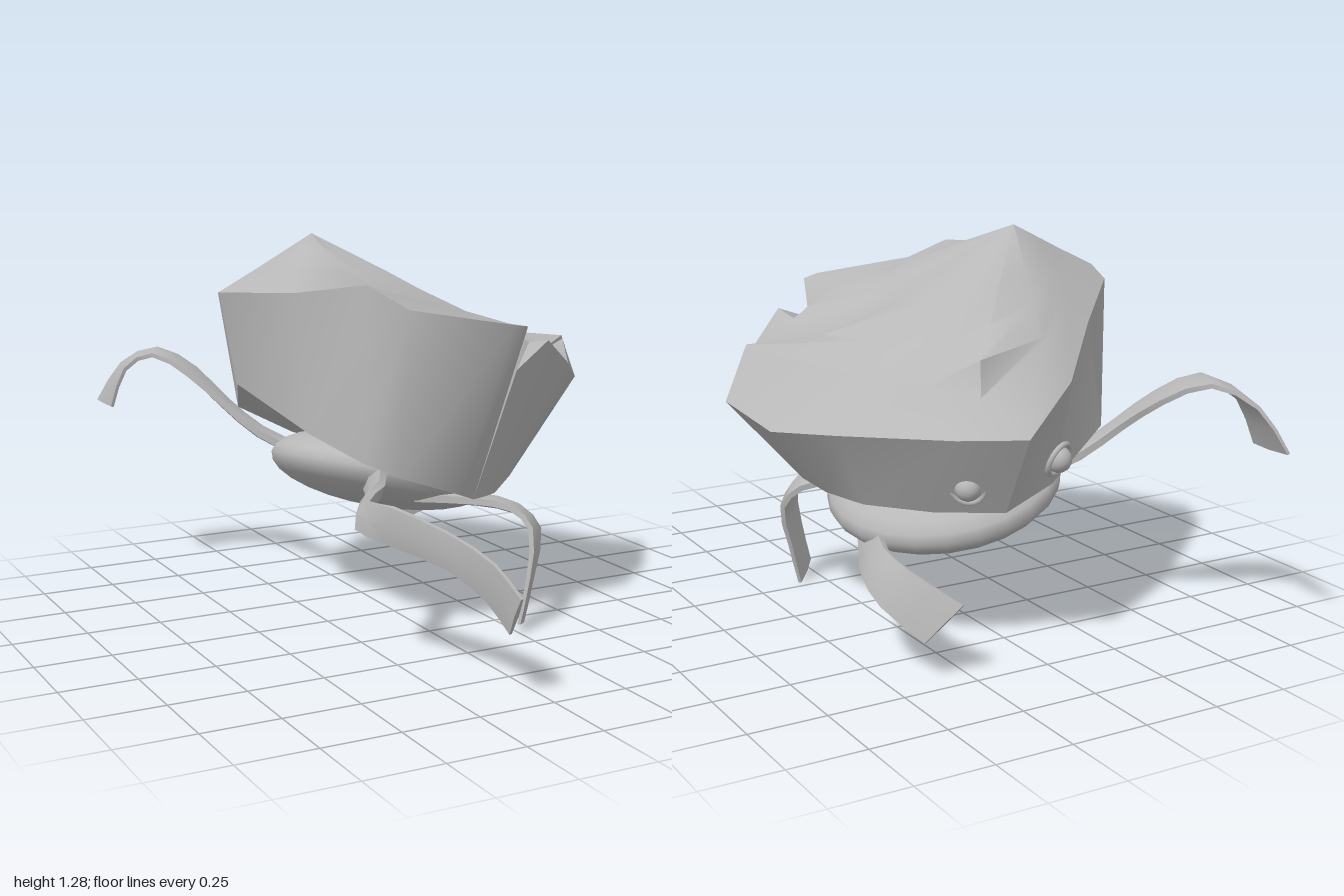
import * as THREE from 'three';
import { toCreasedNormals } from 'three/addons/utils/BufferGeometryUtils.js';

const stone = new THREE.MeshStandardMaterial({ color: 0xb8b8b8, side: THREE.DoubleSide });
stone.name = 'stone grey';

const V = (p) => new THREE.Vector3(...p);

// Skins a stack of closed rings (equal point counts, counterclockwise from the outside of the first ring).
function loft(rings, crease) {
  const pos = [];
  const tri = (a, b, c) => {
    const area = b.clone().sub(a).cross(c.clone().sub(a)).length();
    if (area > 1e-8) for (const p of [a, b, c]) pos.push(p.x, p.y, p.z);
  };
  for (let r = 0; r < rings.length - 1; r++) {
    const lo = rings[r], hi = rings[r + 1], n = lo.length;
    for (let i = 0; i < n; i++) {
      const j = (i + 1) % n;
      tri(lo[i], lo[j], hi[j]);
      tri(lo[i], hi[j], hi[i]);
    }
  }
  const g = new THREE.BufferGeometry();
  g.setAttribute('position', new THREE.Float32BufferAttribute(pos, 3));
  return toCreasedNormals(g, crease);
}

function part(name, geometry) {
  const m = new THREE.Mesh(geometry, stone);
  m.name = name;
  return m;
}

// Shell outlines, running from the back round by -x, the front and +x
const bottomEdge = [
  [0.10, 0.48, -0.66], [-0.10, 0.53, -0.61], [-0.35, 0.66, -0.51], [-0.44, 0.73, -0.29],
  [-0.51, 0.81, -0.12], [-0.40, 0.69, 0.20], [-0.28, 0.61, 0.33], [-0.17, 0.56, 0.38],
  [0.05, 0.48, 0.36], [0.11, 0.455, 0.34], [0.16, 0.45, 0.31], [0.25, 0.44, 0.24],
  [0.38, 0.46, 0.12], [0.47, 0.48, -0.02], [0.46, 0.47, -0.17], [0.41, 0.465, -0.33],
  [0.27, 0.47, -0.52],
].map(V);
const rim = [
  [0.13, 0.75, -0.83], [-0.10, 0.87, -0.70], [-0.29, 1.00, -0.51], [-0.50, 1.09, -0.30],
  [-0.56, 1.11, -0.14], [-0.43, 1.13, 0.15], [-0.25, 1.16, 0.30], [-0.16, 1.09, 0.41],
  [0.14, 1.04, 0.53], [0.20, 1.03, 0.51], [0.18, 0.89, 0.48], [0.36, 0.96, 0.38],
  [0.55, 0.85, 0.21], [0.72, 0.76, 0.00], [0.66, 0.70, -0.20], [0.54, 0.72, -0.41],
  [0.30, 0.74, -0.70],
].map(V);
const topRidge = [
  [0.17, 0.95, -0.62], [-0.06, 0.99, -0.60], [-0.25, 1.08, -0.44], [-0.36, 1.17, -0.27],
  [-0.38, 1.19, -0.19], [-0.32, 1.19, -0.05], [-0.22, 1.19, 0.04], [-0.14, 1.13, 0.14],
  [0.10, 1.06, 0.30], [0.16, 1.03, 0.30], [0.30, 0.975, 0.28], [0.35, 0.94, 0.27],
  [0.45, 0.88, 0.15], [0.62, 0.92, 0.06], [0.47, 0.89, -0.18], [0.37, 0.87, -0.34],
  [0.27, 0.87, -0.48],
].map(V);

function makeShell() {
  const peak = V([-0.19, 1.28, -0.23]);
  const under = V([0.05, 0.50, -0.15]);
  // Foot of the small cliff at the back of the top
  const ledge = topRidge.map((p, i) => p.clone().lerp(rim[i], 0.08));
  ledge[0].set(0.18, 0.84, -0.64);
  // Rings stepping up to the peak, sagging on the +x side
  const climb = (t, sag) => topRidge.map((p) => {
    const q = p.clone().lerp(peak, t);
    q.y -= sag * Math.max(0, q.x);
    return q;
  });
  const top = [rim, ledge, topRidge, climb(0.28, 0.2), climb(0.55, 0.45), rim.map(() => peak)];
  const g = new THREE.Group();
  g.name = 'shell';
  g.add(part('shellUnderside', loft([rim.map(() => under), bottomEdge], 0.5)));
  g.add(part('shellWall', loft([bottomEdge, rim], 0.75)));
  g.add(part('shellTop', loft(top, 0.75)));
  return g;
}

// Strap-like leg: each station is [centre, width vector]
function makeLeg(name, stations) {
  const path = new THREE.CatmullRomCurve3(stations.map((s) => V(s[0])), false, 'centripetal');
  const rings = [];
  const steps = (stations.length - 1) * 2;
  for (let k = 0; k <= steps; k++) {
    const i = Math.min(Math.floor(k / 2), stations.length - 2);
    const w = V(stations[i][1]).lerp(V(stations[i + 1][1]), k / 2 - i).multiplyScalar(0.5);
    const c = path.getPoint(k / steps);
    const t = path.getTangent(k / steps);
    const n = t.clone().cross(w).normalize().multiplyScalar(0.026 - 0.016 * k / steps);
    const at = (a, b) => c.clone().addScaledVector(w, a).addScaledVector(n, b);
    rings.push([at(1, 0.5), at(0, 1), at(-1, 0.5), at(-1, -0.5), at(0, -1), at(1, -0.5)]);
  }
  const flat = (r) => {
    const mid = r[0].clone().add(r[3]).multiplyScalar(0.5);
    return r.map(() => mid);
  };
  return part(name, loft([flat(rings[0]), ...rings, flat(rings[steps])], 0.7));
}

const legs = {
  frontRightLeg: [
    [[-0.10, 0.49, 0.05], [0.06, 0.08, 0]], [[-0.24, 0.51, 0.33], [0.05, 0.06, 0]],
    [[-0.345, 0.48, 0.45], [0.03, 0.09, 0]], [[-0.31, 0.47, 0.57], [0, 0.12, 0.02]],
    [[-0.21, 0.42, 0.75], [0, 0.11, 0.01]], [[-0.145, 0.35, 0.88], [0, 0.12, 0.04]],
    [[-0.115, 0.27, 0.97], [0, 0.12, 0.06]],
  ],
  frontLeftLeg: [
    [[0.08, 0.42, 0.05], [0.12, 0, -0.12]], [[0.22, 0.41, 0.18], [0.10, -0.02, -0.11]],
    [[0.32, 0.385, 0.26], [0.10, -0.03, -0.11]], [[0.365, 0.32, 0.31], [0.11, -0.04, -0.12]],
    [[0.335, 0.17, 0.335], [0.10, -0.03, -0.13]], [[0.295, 0.02, 0.345], [0.10, -0.03, -0.13]],
  ],
  backLeftLeg: [
    [[0.26, 0.38, -0.08], [0.06, -0.07, 0.03]], [[0.36, 0.32, -0.28], [0.05, -0.10, 0.03]],
    [[0.43, 0.31, -0.44], [0.05, -0.10, 0.05]], [[0.43, 0.27, -0.57], [0.07, -0.12, 0.05]],
    [[0.34, 0.185, -0.705], [0.10, -0.12, 0.055]],
  ],
  backRightLeg: [
    [[-0.12, 0.48, -0.38], [-0.05, 0, 0.08]], [[-0.28, 0.57, -0.48], [-0.04, 0, 0.08]],
    [[-0.38, 0.67, -0.56], [-0.04, 0, 0.08]], [[-0.46, 0.77, -0.66], [-0.07, 0, 0.12]],
    [[-0.56, 0.835, -0.765], [-0.07, 0, 0.14]], [[-0.645, 0.775, -0.865], [-0.04, 0, 0.15]],
    [[-0.70, 0.635, -0.92], [0, 0, 0.16]],
  ],
};

// Round eyeball in a raised socket ring
function makeEye(name, position, facing) {
  const g = new THREE.Group();
  g.name = name;
  g.add(part('eyeball', new THREE.SphereGeometry(0.042, 16, 12)));
  g.add(part('eyeSocket', new THREE.TorusGeometry(0.053, 0.009, 8, 20)));
  g.position.set(...position);
  g.quaternion.setFromUnitVectors(new THREE.Vector3(0, 0, 1), V(facing).normalize());
  return g;
}

export function createModel() {
  const model = new THREE.Group();
  model.name = 'shelledCreature';
  model.add(makeShell());

  // Shallow rounded belly, tilted under the shell
  const belly = part('belly', new THREE.SphereGeometry(1, 24, 14));
  belly.scale.set(0.38, 0.13, 0.40);
  belly.position.set(0.05, 0.455, -0.20);
  belly.rotation.set(-0.12, 0, -0.25);
  model.add(belly);

  for (const [name, stations] of Object.entries(legs)) model.add(makeLeg(name, stations));

  model.add(makeEye('leftEye', [0.21, 0.565, -0.62], [0.6, -0.25, -0.75]));
  model.add(makeEye('rightEye', [-0.10, 0.615, -0.64], [-0.4, -0.35, -0.85]));
  return model;
}
